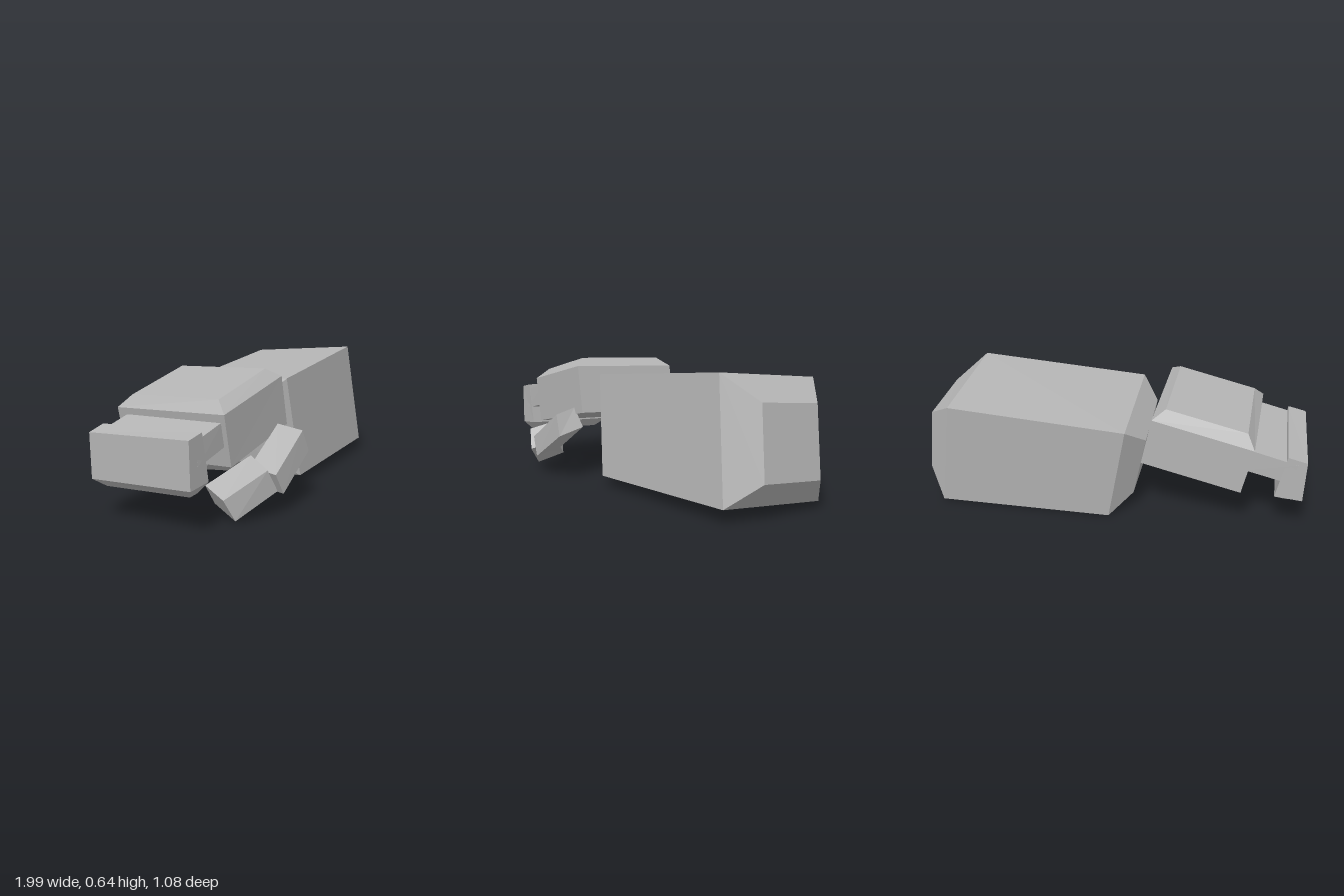
import * as THREE from 'three';

// Solid through a series of four-cornered rings, capped at both ends.
function loft(rings) {
  const tris = [];
  const quad = (a, b, c, d) => tris.push([a, b, c], [a, c, d]);
  quad(rings[0][3], rings[0][2], rings[0][1], rings[0][0]);
  for (let r = 0; r + 1 < rings.length; r++) {
    for (let i = 0; i < 4; i++) {
      const j = (i + 1) % 4;
      quad(rings[r][i], rings[r][j], rings[r + 1][j], rings[r + 1][i]);
    }
  }
  quad(...rings[rings.length - 1]);
  // Signed volume about the first corner tells which way the faces point
  const o = new THREE.Vector3(...rings[0][0]);
  let volume = 0;
  for (const t of tris) {
    const [a, b, c] = t.map((p) => new THREE.Vector3(...p).sub(o));
    volume += a.dot(b.cross(c));
  }
  if (volume < 0) tris.forEach((t) => t.reverse());
  const geo = new THREE.BufferGeometry();
  geo.setAttribute('position', new THREE.Float32BufferAttribute(tris.flat(2), 3));
  geo.computeVertexNormals();
  return geo;
}

export function createModel() {
  const group = new THREE.Group();
  const grey = new THREE.MeshStandardMaterial({ color: 0xb4b4b4, flatShading: true });
  grey.name = 'plain grey';
  const add = (name, rings) => {
    const mesh = new THREE.Mesh(loft(rings), grey);
    mesh.name = name;
    group.add(mesh);
  };

  // Forearm: long block with tapered wrist and elbow ends
  add('forearm', [
    [[-0.134, 0.467, 0.202], [-0.074, 0.13, 0.214], [-0.15, 0.098, -0.162], [-0.22, 0.43, -0.18]],
    [[-0.03, 0.57, 0.27], [0.06, 0.055, 0.293], [-0.06, 0.003, -0.283], [-0.16, 0.518, -0.31]],
    [[0.82, 0.643, 0.04], [0.925, 0.07, 0.07], [0.80, 0.017, -0.51], [0.69, 0.59, -0.537]],
    [[0.935, 0.52, -0.105], [0.997, 0.18, -0.087], [0.922, 0.15, -0.428], [0.86, 0.49, -0.443]],
  ]);

  // Palm: block with a bevelled back of the hand
  add('palm', [
    [[-0.60, 0.258, 0.43], [-0.11, 0.362, 0.34], [-0.22, 0.337, -0.245], [-0.71, 0.235, -0.155]],
    [[-0.65, 0.50, 0.437], [-0.16, 0.605, 0.345], [-0.27, 0.58, -0.24], [-0.76, 0.475, -0.15]],
    [[-0.615, 0.555, 0.37], [-0.225, 0.643, 0.295], [-0.32, 0.623, -0.18], [-0.71, 0.535, -0.10]],
  ]);

  // Fingers joined in one block, front cross-section swept to the far side
  const section = [[-0.84, 0.415, 0.45], [-0.63, 0.465, 0.41], [-0.60, 0.355, 0.405], [-0.82, 0.305, 0.45]];
  add('fingerBase', [section, section.map(([x, y, z]) => [x - 0.115, y - 0.02, z - 0.51])]);

  // Bent finger ends with a tapered tip
  add('fingerTips', [
    [[-0.88, 0.432, 0.46], [-0.79, 0.45, 0.445], [-0.905, 0.432, -0.07], [-0.997, 0.41, -0.05]],
    [[-0.875, 0.215, 0.46], [-0.745, 0.225, 0.435], [-0.86, 0.205, -0.075], [-0.993, 0.197, -0.05]],
    [[-0.84, 0.175, 0.42], [-0.785, 0.18, 0.41], [-0.895, 0.157, 0], [-0.95, 0.165, 0]],
  ]);

  // Thumb in two slanted segments
  add('thumbBase', [
    [[-0.15, 0.355, 0.47], [-0.10, 0.247, 0.47], [-0.15, 0.28, 0.325], [-0.20, 0.38, 0.355]],
    [[-0.41, 0.20, 0.525], [-0.355, 0.10, 0.525], [-0.395, 0.13, 0.38], [-0.445, 0.225, 0.40]],
  ]);
  add('thumbTip', [
    [[-0.47, 0.235, 0.528], [-0.415, 0.13, 0.54], [-0.385, 0.17, 0.40], [-0.435, 0.275, 0.395]],
    [[-0.648, 0.115, 0.425], [-0.597, 0.013, 0.45], [-0.58, 0.06, 0.305], [-0.63, 0.155, 0.295]],
  ]);

  return group;
}
